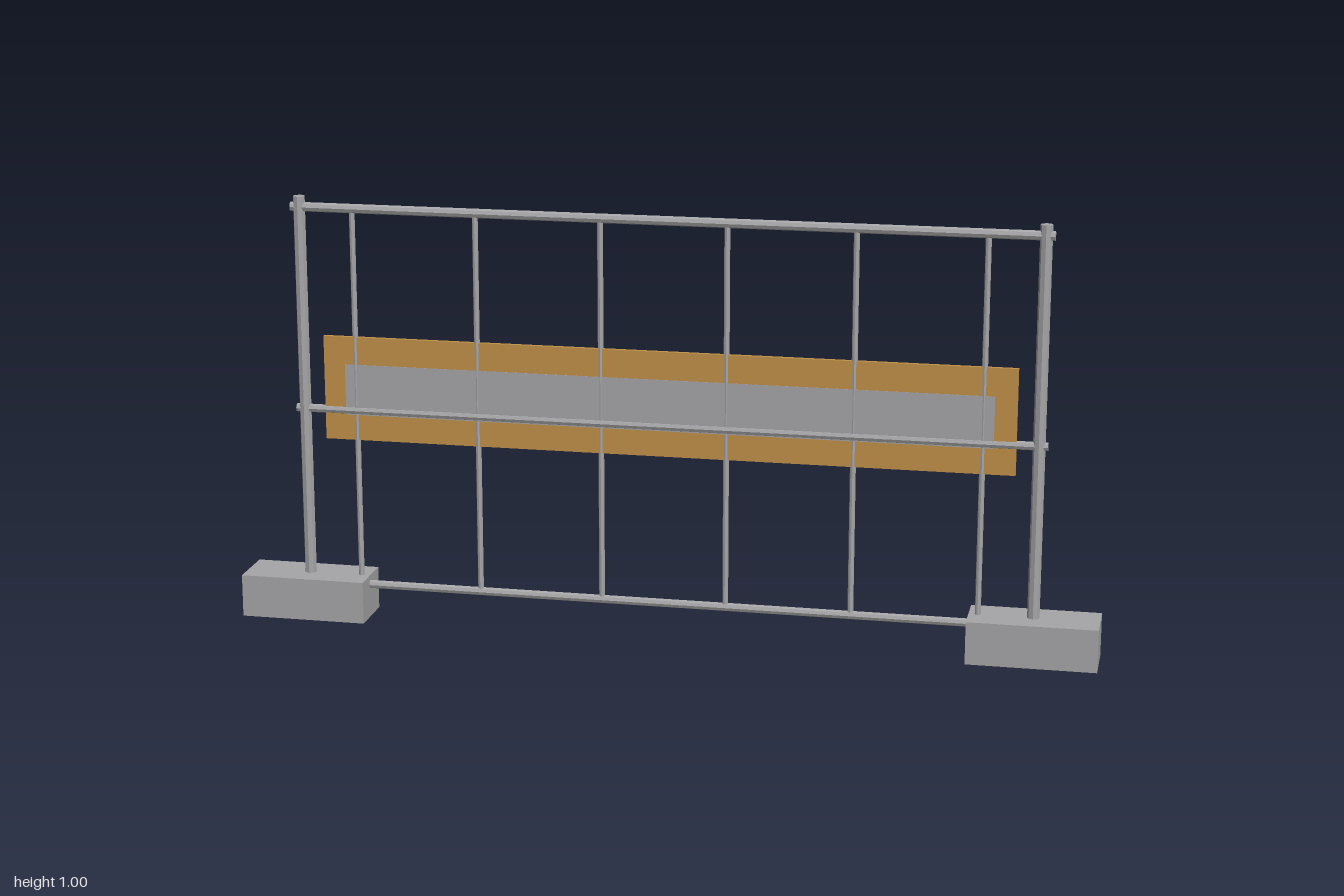
import * as THREE from 'three';

export function createModel() {
  const model = new THREE.Group();
  const steel = new THREE.MeshStandardMaterial({ color: 0xa6a6a8, flatShading: true });
  steel.name = 'grey steel and concrete';
  const wood = new THREE.MeshStandardMaterial({ color: 0xc09048, flatShading: true });
  wood.name = 'ochre board';

  const add = (name, geometry, material, x, y) => {
    const mesh = new THREE.Mesh(geometry, material);
    mesh.name = name;
    mesh.position.set(x, y, 0);
    model.add(mesh);
    return mesh;
  };
  const tube = (radius, length) => new THREE.CylinderGeometry(radius, radius, length, 8);

  // Block feet and upright posts
  for (const side of [-1, 1]) {
    const prefix = side > 0 ? 'left' : 'right';
    add(prefix + 'Foot', new THREE.BoxGeometry(0.296, 0.1, 0.125), steel, side * 0.852, 0.05);
    add(prefix + 'Post', tube(0.014, 0.95), steel, side * 0.85, 0.525);
  }

  // Horizontal rails
  const rails = [['topRail', 0.975, 0.011], ['middleRail', 0.5, 0.01], ['bottomRail', 0.078, 0.01]];
  for (const [name, y, radius] of rails) {
    add(name, tube(radius, 1.74), steel, 0, y).rotation.z = Math.PI / 2;
  }

  // Thin vertical bars
  for (let i = 0; i < 6; i++) {
    add('bar' + (i + 1), tube(0.0068, 0.897), steel, -0.725 + i * 0.29, 0.5265);
  }

  // Sign board with an inset panel showing on both faces
  add('board', new THREE.BoxGeometry(1.6, 0.245, 0.01), wood, 0, 0.5525);
  add('panel', new THREE.BoxGeometry(1.5, 0.12, 0.0116), steel, 0, 0.55);
  return model;
}
